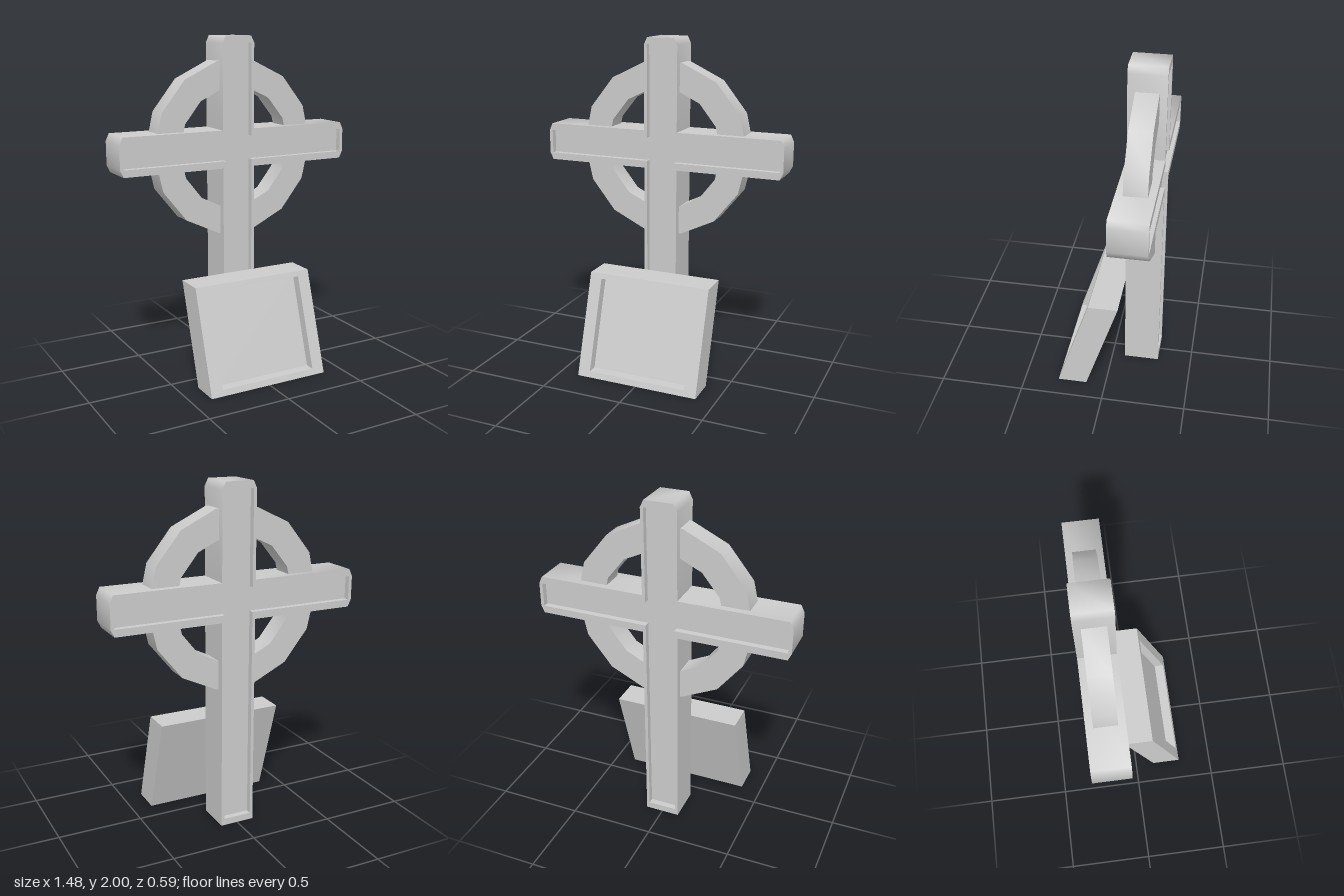
import * as THREE from 'three';
import { mergeGeometries, toCreasedNormals } from 'three/addons/utils/BufferGeometryUtils.js';

const material = new THREE.MeshStandardMaterial({ color: 0xcccccc, side: THREE.DoubleSide });
const V = (list) => list.map(([x, y]) => new THREE.Vector2(x, y));

// Side walls along a counter-clockwise outline; the edge on the ground stays open
function walls(outline, z0, z1, inward = false) {
  const loop = inward ? [...outline].reverse() : outline;
  const pos = [];
  loop.forEach((p, i) => {
    const q = loop[(i + 1) % loop.length];
    if (p.y === 0 && q.y === 0) return;
    pos.push(p.x, p.y, z0, q.x, q.y, z0, q.x, q.y, z1);
    pos.push(p.x, p.y, z0, q.x, q.y, z1, p.x, p.y, z1);
  });
  return new THREE.BufferGeometry().setAttribute('position', new THREE.Float32BufferAttribute(pos, 3));
}

// Flat face at depth z, optionally with a hole, facing front or back
function face(outline, z, hole, back = false) {
  const shape = new THREE.Shape(outline);
  if (hole) shape.holes.push(new THREE.Path(hole));
  const geo = new THREE.ShapeGeometry(shape);
  if (back) geo.index.array.reverse();
  const flat = geo.toNonIndexed().translate(0, 0, z);
  flat.deleteAttribute('uv');
  flat.deleteAttribute('normal');
  return flat;
}

// Rim, recess walls and sunken floor of one side
function recess(outer, inner, z, depth, back = false) {
  const floor = back ? z + depth : z - depth;
  return [
    face(outer, z, inner, back),
    face(inner, floor, null, back),
    walls(inner, Math.min(z, floor), Math.max(z, floor), true),
  ];
}

function addMesh(group, name, parts, crease) {
  const mesh = new THREE.Mesh(toCreasedNormals(mergeGeometries(parts), crease), material);
  mesh.name = name;
  group.add(mesh);
}

// Cross outline: w, h = half widths of upright and arms, c = end chamfer [along, across]
function crossOutline(w, h, reach, bottom, top, c) {
  const cy = 1.35;
  const right = [[w, bottom], [w, cy - h]];
  if (c) {
    right.push([reach - c[0], cy - h], [reach, cy - h + c[1]], [reach, cy + h - c[1]], [reach - c[0], cy + h]);
    right.push([w, cy + h], [w, top - c[1]], [w - c[0], top]);
  } else {
    right.push([reach, cy - h], [reach, cy + h], [w, cy + h], [w, top]);
  }
  return V([...right, ...right.map(([x, y]) => [-x, y]).reverse()]);
}

function circle(radius, sides) {
  return Array.from({ length: sides }, (_, i) => {
    const a = (i / sides) * Math.PI * 2;
    return new THREE.Vector2(Math.cos(a) * radius, 1.35 + Math.sin(a) * radius);
  });
}

const rect = (w, y0, y1) => V([[-w, y0], [w, y0], [w, y1], [-w, y1]]);

export function createModel() {
  const group = new THREE.Group();
  group.name = 'ringedCross';

  // Cross with sunken panels on front and back
  const outer = crossOutline(0.103, 0.112, 0.742, 0, 2, [0.02, 0.042]);
  const inner = crossOutline(0.085, 0.07, 0.722, 0.04, 1.96);
  addMesh(group, 'cross', [
    walls(outer, -0.293, -0.08),
    ...recess(outer, inner, -0.08, 0.035),
    ...recess(outer, inner, -0.293, 0.035, true),
  ], 1.15);

  // Fourteen-sided ring around the crossing
  const ringOuter = circle(0.521, 14);
  const ringInner = circle(0.361, 14);
  addMesh(group, 'ring', [
    walls(ringOuter, -0.252, -0.122),
    walls(ringInner, -0.252, -0.122, true),
    face(ringOuter, -0.122, ringInner),
    face(ringOuter, -0.252, ringInner, true),
  ], 0.6);

  // Leaning plaque, sheared backwards with height
  const plate = rect(0.38, 0, 0.6);
  const panel = rect(0.305, 0.035, 0.57);
  const shear = new THREE.Matrix4().set(1, 0, 0, 0, 0, 1, 0, 0, 0, -0.325, 1, 0, 0, 0, 0, 1);
  const plaque = [walls(plate, 0.118, 0.293), ...recess(plate, panel, 0.293, 0.06), face(plate, 0.118, null, true)];
  addMesh(group, 'plaque', plaque.map((g) => g.applyMatrix4(shear)), 0.5);

  return group;
}
